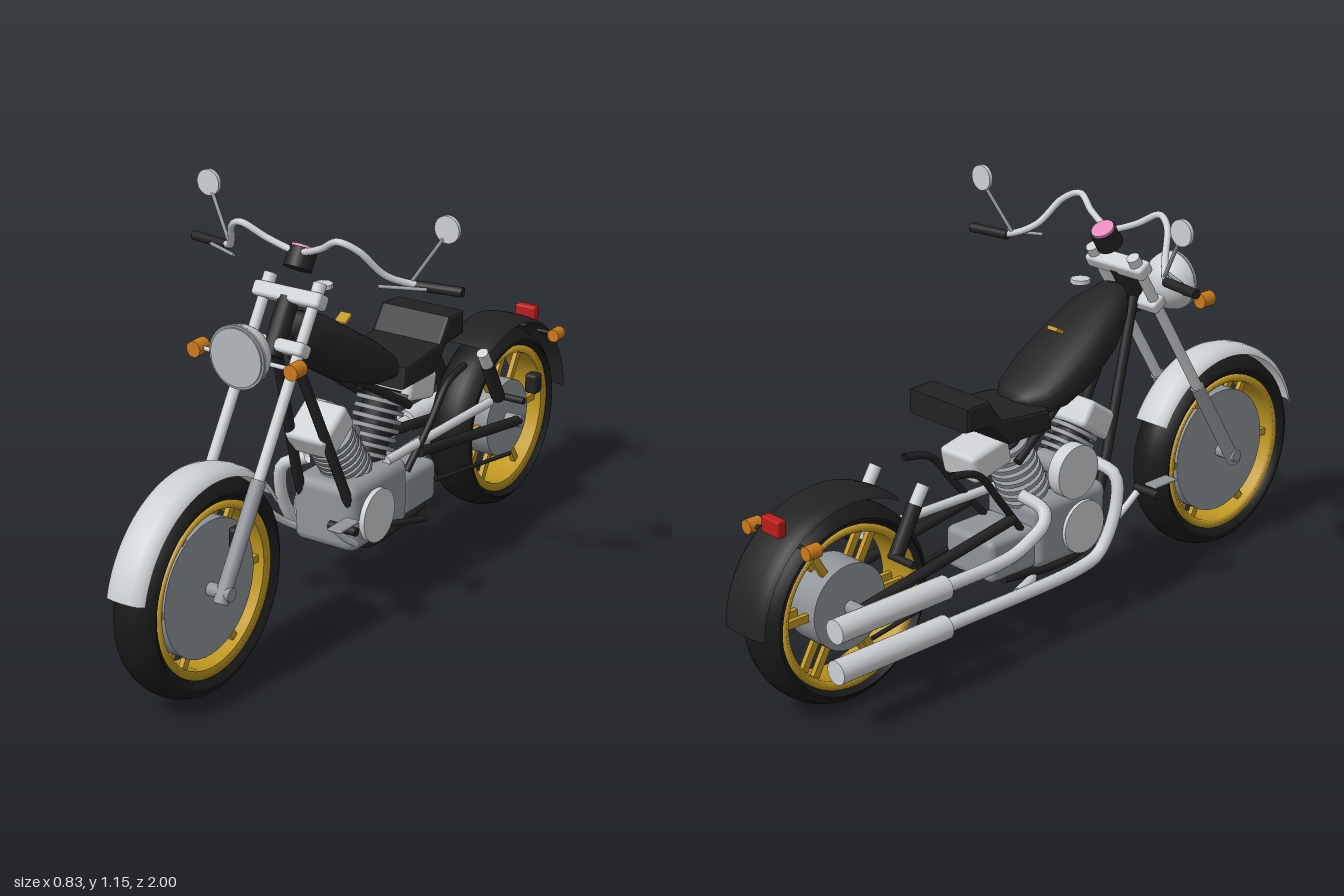
import * as THREE from 'three';
import { RoundedBoxGeometry } from 'three/addons/geometries/RoundedBoxGeometry.js';

const V = (x, y, z) => new THREE.Vector3(x, y, z);

export function createModel() {
  const model = new THREE.Group();
  model.name = 'motorcycle';
  const mat = (name, color) => {
    const m = new THREE.MeshStandardMaterial({ color, side: THREE.DoubleSide });
    m.name = name;
    return m;
  };
  const black = mat('black', 0x222222), rubber = mat('rubber', 0x191919), chrome = mat('chrome', 0xcdd0d3),
    steel = mat('steel', 0x909499), gold = mat('gold', 0xc09822), orange = mat('orange', 0xcc7a1a),
    red = mat('red', 0xbb1c1c), pink = mat('pink', 0xe58abc), glass = mat('glass', 0xb4b8bb);

  const add = (name, geo, m, x = 0, y = 0, z = 0) => {
    const mesh = new THREE.Mesh(geo, m);
    mesh.name = name;
    mesh.position.set(x, y, z);
    model.add(mesh);
    return mesh;
  };
  // Straight rod between two points
  const rod = (name, a, b, r, m, r2 = r, sides = 16) => {
    const d = b.clone().sub(a), mid = a.clone().add(b).multiplyScalar(0.5);
    const mesh = add(name, new THREE.CylinderGeometry(r2, r, d.length(), sides), m, mid.x, mid.y, mid.z);
    mesh.quaternion.setFromUnitVectors(V(0, 1, 0), d.normalize());
    return mesh;
  };
  // Bent tube through points
  const tube = (name, pts, r, m, seg = 40) =>
    add(name, new THREE.TubeGeometry(new THREE.CatmullRomCurve3(pts, false, 'centripetal'), seg, r, 10), m);
  const box = (name, w, h, d, m, x, y, z, rx = 0, bevel = 0.01) => {
    const mesh = add(name, new RoundedBoxGeometry(w, h, d, 2, bevel), m, x, y, z);
    mesh.rotation.x = rx;
    return mesh;
  };
  // Profile of [radius, side offset] turned about the wheel axle
  const turned = (name, profile, m, y, z, a0 = 0, a1 = 360) => {
    const rad = THREE.MathUtils.degToRad;
    const pts = profile.map(([r, s]) => new THREE.Vector2(r, s));
    const mesh = add(name, new THREE.LatheGeometry(pts, 64, rad(a0), rad(a1 - a0)), m, 0, y, z);
    mesh.rotation.z = Math.PI / 2;
    return mesh;
  };

  // Wheels: tyre, rim, spokes, brake disc, hub
  const wheel = (label, y, z, R, w, rim, disc, discX, turn) => {
    turned(label + 'Tyre', [[rim, -w * 0.72], [rim + 0.02, -w * 0.95], [R - 0.035, -w], [R - 0.012, -w * 0.75], [R - 0.002, -w * 0.35],
      [R, 0], [R - 0.002, w * 0.35], [R - 0.012, w * 0.75], [R - 0.035, w], [rim + 0.02, w * 0.95], [rim, w * 0.72], [rim, -w * 0.72]], rubber, y, z);
    turned(label + 'Rim', [[rim - 0.02, -w * 0.72], [rim + 0.002, -w * 0.8], [rim + 0.002, w * 0.8], [rim - 0.02, w * 0.72], [rim - 0.02, -w * 0.72]], gold, y, z);
    rod(label + 'BrakeDisc', V(-discX, y, z), V(discX, y, z), disc, steel, disc, 40);
    rod(label + 'Axle', V(-0.1, y, z), V(0.1, y, z), 0.018, steel);
    for (let i = 0; i < 6; i++) {
      const a = turn + i * Math.PI / 3, len = rim - 0.02;
      for (const s of [-1, 1]) {
        const spoke = add(label + 'Spoke', new THREE.BoxGeometry(0.014, len, 0.02), gold,
          s * 0.022, y + Math.cos(a) * len / 2, z + Math.sin(a) * len / 2);
        spoke.rotation.x = a;
      }
    }
  };
  wheel('front', 0.286, 0.7, 0.285, 0.064, 0.226, 0.18, 0.033, Math.PI / 6);
  wheel('rear', 0.268, -0.7, 0.264, 0.07, 0.215, 0.115, 0.05, Math.PI / 6);

  // Fenders
  const arch = (r, w, drop) => [[r - drop, -w], [r - drop * 0.35, -w * 0.85], [r - drop * 0.08, -w * 0.45], [r, 0],
    [r - drop * 0.08, w * 0.45], [r - drop * 0.35, w * 0.85], [r - drop, w]];
  turned('frontFender', arch(0.312, 0.056, 0.025), chrome, 0.286, 0.7, 14, 151);
  turned('rearFender', arch(0.302, 0.076, 0.014), black, 0.268, -0.7, 60, 178);

  // Fork, clamps and mirrored fittings
  const forkAt = (x, y) => V(x, y, 0.7 - (y - 0.286) * 0.62);
  for (const s of [-1, 1]) {
    const X = s * 0.075;
    rod('forkLower', forkAt(X, 0.262), forkAt(X, 0.53), 0.02, steel);
    rod('forkTube', forkAt(X, 0.5), forkAt(X, 0.945), 0.015, chrome);
    rod('forkCap', forkAt(X, 0.94), forkAt(X, 0.963), 0.018, chrome);
    rod('frontSignalStalk', V(s * 0.07, 0.815, 0.49), V(s * 0.13, 0.815, 0.49), 0.006, chrome);
    rod('frontSignal', V(s * 0.147, 0.815, 0.468), V(s * 0.147, 0.815, 0.512), 0.021, orange);
    rod('rearSignalStalk', V(s * 0.05, 0.49, -0.865), V(s * 0.1, 0.49, -0.865), 0.006, black);
    rod('rearSignal', V(s * 0.113, 0.49, -0.885), V(s * 0.113, 0.49, -0.845), 0.019, orange);
    // Controls on the handlebar
    rod('grip', V(s * 0.29, 0.969, 0.175), V(s * 0.412, 0.969, 0.155), 0.013, black);
    rod('lever', V(s * 0.22, 0.972, 0.24), V(s * 0.33, 0.97, 0.19), 0.005, steel);
    rod('mirrorStalk', V(s * 0.28, 0.98, 0.18), V(s * 0.352, 1.095, 0.152), 0.005, steel);
    rod('mirror', V(s * 0.363, 1.12, 0.145), V(s * 0.363, 1.12, 0.156), 0.035, chrome, 0.035, 28);
    // Frame sides, swingarm, shocks and pegs
    tube('downTube', [V(s * 0.02, 0.83, 0.345), V(s * 0.05, 0.57, 0.25), V(s * 0.075, 0.33, 0.16), V(s * 0.075, 0.19, 0.1),
      V(s * 0.075, 0.17, 0), V(s * 0.075, 0.19, -0.2)], 0.014, black);
    rod('seatRail', V(s * 0.03, 0.67, 0.13), V(s * 0.07, 0.5, -0.14), 0.012, black);
    tube('rearRail', [V(s * 0.07, 0.31, -0.13), V(s * 0.085, 0.42, -0.22), V(s * 0.09, 0.515, -0.3), V(s * 0.09, 0.54, -0.39)], 0.01, black);
    rod('swingArm', V(s * 0.085, 0.355, -0.17), V(s * 0.088, 0.27, -0.7), 0.015, black);
    rod('lowerStay', V(s * 0.08, 0.265, -0.1), V(s * 0.085, 0.18, -0.66), 0.006, black);
    rod('shock', V(s * 0.09, 0.5, -0.515), V(s * 0.09, 0.38, -0.58), 0.02, black);
    rod('shockTop', V(s * 0.09, 0.545, -0.485), V(s * 0.09, 0.49, -0.52), 0.017, chrome);
    rod('rearPeg', V(s * 0.08, 0.383, -0.59), V(s * 0.168, 0.383, -0.59), 0.01, black);
    tube('footControlArm', [V(s * 0.09, 0.21, 0.15), V(s * 0.1, 0.25, 0.21), V(s * 0.11, 0.31, 0.28)], 0.01, chrome, 16);
    rod('frontPeg', V(s * 0.1, 0.315, 0.28), V(s * 0.183, 0.315, 0.28), 0.012, black);
    box('footPedal', 0.042, 0.008, 0.085, steel, s * 0.163, 0.34, 0.31, 0, 0.003);
  }
  box('upperClamp', 0.205, 0.04, 0.05, chrome, 0, 0.925, 0.305, -0.55);
  box('lowerClamp', 0.19, 0.035, 0.05, chrome, 0, 0.815, 0.37, -0.55);
  rod('steeringNeck', forkAt(0, 0.79), forkAt(0, 0.92), 0.028, black);

  // Handlebar and gauge
  tube('handlebar', [V(-0.4, 0.969, 0.157), V(-0.29, 0.972, 0.178), V(-0.235, 1.0, 0.23), V(-0.19, 1.07, 0.285), V(-0.145, 1.09, 0.305),
    V(-0.08, 1.055, 0.285), V(0, 1.03, 0.27), V(0.08, 1.055, 0.285), V(0.145, 1.09, 0.305), V(0.19, 1.07, 0.285),
    V(0.235, 1.0, 0.23), V(0.29, 0.972, 0.178), V(0.4, 0.969, 0.157)], 0.0095, chrome, 90);
  rod('gauge', V(0, 0.985, 0.272), V(0, 1.03, 0.245), 0.037, black, 0.037, 24);
  rod('gaugeFace', V(0, 1.03, 0.245), V(0, 1.036, 0.2414), 0.032, pink, 0.032, 24);

  // Headlight
  const shell = add('headlightShell', new THREE.SphereGeometry(0.082, 32, 14, 0, Math.PI * 2, 0, Math.PI / 2), chrome, 0, 0.83, 0.525);
  shell.rotation.x = -Math.PI / 2;
  rod('headlightRim', V(0, 0.83, 0.52), V(0, 0.83, 0.53), 0.083, steel, 0.083, 36);
  rod('headlightLens', V(0, 0.83, 0.53), V(0, 0.83, 0.534), 0.076, glass, 0.076, 36);

  // Tank lofted from sections [z, centre y, half width, half height]
  const sections = [[0.3, 0.825, 0, 0], [0.298, 0.825, 0.045, 0.05], [0.28, 0.818, 0.06, 0.062], [0.2, 0.772, 0.1, 0.078], [0.1, 0.71, 0.115, 0.077],
    [0.02, 0.67, 0.113, 0.068], [-0.05, 0.64, 0.095, 0.047], [-0.088, 0.637, 0.06, 0.028], [-0.095, 0.637, 0, 0]];
  const N = 28, pos = [], idx = [];
  const soft = t => Math.sign(t) * Math.pow(Math.abs(t), 0.8);
  sections.forEach(([z, y, w, h], i) => {
    for (let j = 0; j < N; j++) {
      const a = j / N * Math.PI * 2;
      pos.push(w * soft(Math.cos(a)), y + h * soft(Math.sin(a)), z);
      if (i === sections.length - 1) continue;
      const p = i * N + j, q = i * N + (j + 1) % N;
      idx.push(p, p + N, q, p + N, q + N, q);
    }
  });
  const tankGeo = new THREE.BufferGeometry();
  tankGeo.setAttribute('position', new THREE.Float32BufferAttribute(pos, 3));
  tankGeo.setIndex(idx);
  tankGeo.computeVertexNormals();
  add('fuelTank', tankGeo, black);
  rod('fuelCap', V(0, 0.904, 0.16), V(0, 0.916, 0.16), 0.027, chrome, 0.027, 8);
  box('tankBadge', 0.034, 0.012, 0.034, gold, 0, 0.795, 0.068, 0.5, 0.003);

  // Seat: side profile in (-z, y), extruded across
  const seatShape = new THREE.Shape();
  [[0.06, 0.585], [0.2, 0.585], [0.265, 0.65], [0.345, 0.655], [0.345, 0.705], [0.28, 0.708], [0.235, 0.645], [0.07, 0.63]]
    .forEach(([u, v], i) => (i ? seatShape.lineTo(u, v) : seatShape.moveTo(u, v)));
  const seatGeo = new THREE.ExtrudeGeometry(seatShape, { depth: 0.2, bevelSize: 0.008, bevelThickness: 0.01, bevelSegments: 2 });
  seatGeo.translate(0, 0, -0.1);
  add('seat', seatGeo, black).rotation.y = Math.PI / 2;

  // Engine
  box('crankcase', 0.2, 0.19, 0.27, steel, 0, 0.275, 0.035, 0, 0.03);
  box('gearbox', 0.18, 0.12, 0.17, steel, 0, 0.25, -0.17, 0, 0.02);
  rod('engineCover', V(-0.11, 0.265, 0.07), V(0.115, 0.265, 0.07), 0.074, chrome, 0.074, 32);
  rod('airCleaner', V(-0.14, 0.447, 0.015), V(-0.1, 0.447, 0.015), 0.074, chrome, 0.074, 32);
  rod('airIntake', V(-0.11, 0.447, 0.015), V(0, 0.447, 0.015), 0.03, steel);
  const jug = (label, a, b) => {
    rod(label + 'Cylinder', a, b, 0.048, black);
    const d = b.clone().sub(a).normalize().multiplyScalar(0.006);
    for (let i = 0; i < 8; i++) {
      const p = a.clone().lerp(b, 0.18 + i * 0.11);
      rod(label + 'Fin', p.clone().sub(d), p.clone().add(d), 0.068, steel, 0.068, 24);
    }
  };
  jug('front', V(0, 0.34, 0.03), V(0, 0.5, 0.145));
  jug('rear', V(0, 0.34, -0.03), V(0, 0.54, -0.125));
  box('frontRockerCover', 0.13, 0.08, 0.13, chrome, 0, 0.525, 0.18, 0.6, 0.015);
  box('rearRockerCover', 0.13, 0.08, 0.135, chrome, 0, 0.525, -0.222, -0.22, 0.015);

  // Exhausts on the right side
  for (const [y, z0, y0] of [[0.175, 0.15, 0.42], [0.285, -0.12, 0.4]]) {
    tube('exhaustPipe', [V(-0.06, y0, z0), V(-0.125, y0 - 0.03, z0 + 0.02), V(-0.145, (y + y0) / 2, z0), V(-0.145, y + 0.02, z0 - 0.06),
      V(-0.145, y, z0 - 0.12), V(-0.158, y, -0.5)], 0.018, chrome);
    rod('muffler', V(-0.158, y, -0.48), V(-0.158, y, -0.84), 0.032, chrome, 0.032, 24);
  }
  tube('crossoverPipe', [V(0.03, 0.16, -0.02), V(-0.08, 0.16, -0.1), V(-0.13, 0.165, -0.2)], 0.015, chrome, 16);
  rod('chainGuard', V(0.07, 0.375, -0.03), V(0.08, 0.375, -0.55), 0.013, chrome);

  // Brakes, stand and tail light
  box('frontCaliper', 0.025, 0.06, 0.04, black, 0.05, 0.395, 0.612);
  box('rearCaliper', 0.04, 0.06, 0.04, black, 0.075, 0.35, -0.805);
  rod('sideStand', V(0.1, 0.21, 0), V(0.125, 0.18, -0.14), 0.009, black);
  box('tailLight', 0.066, 0.045, 0.028, red, 0, 0.53, -0.888, 0, 0.006);
  rod('tailLightMount', V(0, 0.49, -0.87), V(0, 0.52, -0.885), 0.012, black);
  return model;
}
